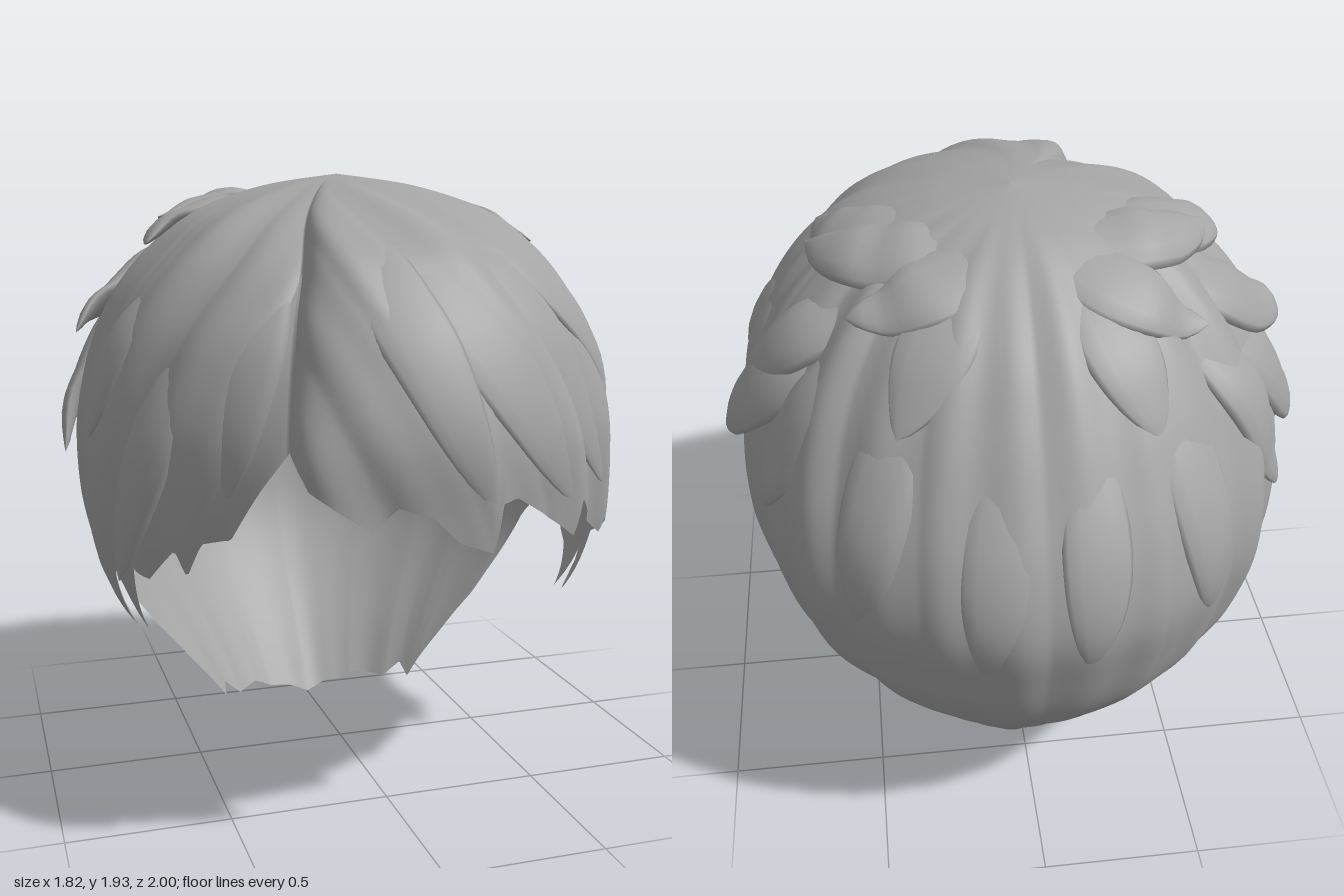
import * as THREE from 'three';

const RAD = Math.PI / 180;
const hair = new THREE.MeshStandardMaterial({ color: 0xa4a4a4, side: THREE.DoubleSide });
hair.name = 'hair grey';

// Head sections from crown to nape: y, half width, front z, back z, centre z
const SECTIONS = [
  [1.935, 0, -0.04, -0.04, -0.04], [1.895, 0.25, 0.21, -0.28, -0.02], [1.81, 0.47, 0.45, -0.44, 0],
  [1.69, 0.61, 0.66, -0.59, 0], [1.55, 0.72, 0.785, -0.71, 0], [1.4, 0.79, 0.875, -0.815, 0],
  [1.2, 0.84, 0.94, -0.93, 0], [1, 0.85, 0.935, -0.98, 0], [0.8, 0.83, 0.91, -0.945, 0],
  [0.6, 0.77, 0.85, -0.88, 0], [0.4, 0.635, 0.7, -0.75, 0], [0.2, 0.49, 0.5, -0.58, 0],
  [0, 0.38, 0.35, -0.43, 0],
];
const LAST = SECTIONS.length - 1;

// Hem heights: [degrees from the front toward +x, y]
const SIDE = [[71, 0.54], [74.5, 0.76], [78, 0.54], [83, 0.67], [90, 0.75], [96, 0.8], [101, 0.77],
  [104, 0.7], [106, 0.6], [109, 0.4], [115, 0.25], [124, 0.08], [130, 0.12], [137, 0.06], [150, 0.07],
  [160, 0.04], [170, 0.03], [180, 0]];
const HEM = [
  ...SIDE.map(([a, y]) => [-a, y]).reverse(),
  [-66, 0.78], [-60, 0.77], [-52, 0.88], [-50, 0.8], [-46, 0.91], [-40, 0.93], [-34, 1.08], [-28.4, 1.2],
  [-27.6, 1.18], [-24, 1.09], [-13.5, 0.99], [-9, 1.05], [-3, 1.02], [2, 0.95], [9, 0.91], [10.5, 1.04],
  [14, 1.05], [20, 1], [31, 0.9], [33, 1], [40, 0.92], [48, 0.85], [50, 0.89], [58, 0.83], [66, 0.78],
  ...SIDE,
];

function section(s) {
  const i = Math.min(Math.floor(s), LAST - 1), t = s - i;
  const row = k => SECTIONS[Math.max(0, Math.min(LAST, k))];
  return SECTIONS[0].map((_, k) => {
    const [a, b, c, d] = [row(i - 1)[k], row(i)[k], row(i + 1)[k], row(i + 2)[k]];
    return b + 0.5 * t * (c - a + t * (2 * a - 5 * b + 4 * c - d + t * (3 * (b - c) + d - a)));
  });
}

// Smooth head surface at angle th (degrees) and section number s
function base(th, s) {
  const [y, w, f, b, c] = section(Math.max(0, Math.min(LAST, s)));
  const cos = Math.cos(th * RAD);
  return new THREE.Vector3(w * Math.sin(th * RAD), y, c + (cos > 0 ? f - c : c - b) * cos);
}

function hemSection(th) {
  let k = 0;
  while (k < HEM.length - 2 && HEM[k + 1][0] < th) k++;
  const [a, ya] = HEM[k], [b, yb] = HEM[k + 1];
  const y = THREE.MathUtils.lerp(ya, yb, (th - a) / (b - a));
  let lo = 0, hi = LAST;
  for (let n = 0; n < 24; n++) {
    const mid = (lo + hi) / 2;
    if (section(mid)[0] > y) lo = mid; else hi = mid;
  }
  return lo;
}

// Combed strand relief; the fringe swells beside the parting and curls in at its edge
function relief(th, s) {
  const fade = THREE.MathUtils.smoothstep(s, 0.5, 3.5);
  const sweep = (th > -28 ? 8 : -5) * Math.exp(-(((th + 20) / 70) ** 2));
  const a = (th - sweep * (s - 6)) * RAD;
  const wave = 0.55 * Math.abs(Math.sin(a * 9 + 0.7 * Math.sin(a * 3)))
    + 0.3 * Math.sin(a * 14 + s * 0.25) + 0.2 * Math.sin(a * 25 + 1);
  const calm = s > 7.5 ? Math.max(0.25, 1 - (s - 7.5) * 0.35) : 1;
  const d = th + 28;
  const fringe = d > 0 ? 0.06 * Math.exp(-((d / 55) ** 2)) - 0.09 * Math.exp(-d / 3.5) : -0.065 * Math.exp(d / 14);
  return fade * (0.025 * wave * calm + fringe);
}

function outer(th, s) {
  const p = base(th, s);
  const out = p.clone().sub(new THREE.Vector3(0, 0.9, 0)).normalize();
  return p.addScaledVector(out, relief(th, s));
}

// Closed loop grid: fn(u, v), u runs round and v runs along
function loopGrid(cols, rows, fn, flip = false) {
  const pos = [], index = [];
  for (let j = 0; j <= rows; j++)
    for (let i = 0; i < cols; i++) pos.push(...fn(i / cols, j / rows).toArray());
  for (let j = 0; j < rows; j++)
    for (let i = 0; i < cols; i++) {
      const n = (i + 1) % cols;
      const a = j * cols + i, b = a + cols, c = j * cols + n, d = c + cols;
      if (flip) index.push(a, c, b, c, d, b);
      else index.push(a, b, c, c, b, d);
    }
  const g = new THREE.BufferGeometry();
  g.setAttribute('position', new THREE.Float32BufferAttribute(pos, 3));
  g.setIndex(index);
  g.computeVertexNormals();
  return g;
}

// Tapered lock whose root sinks into the hair and whose tip lifts away
function lockGeometry([th0, s0, th1, s1, width, height, flick]) {
  const at = t => [th0 + (th1 - th0) * t * (0.6 + 0.4 * t), s0 + (s1 - s0) * t];
  return loopGrid(12, 20, (u, t) => {
    const [th, s] = at(t);
    const p = outer(th, s);
    const tangent = base(...at(t + 0.02)).sub(base(...at(t - 0.02))).normalize();
    const across = base(th + 1, s).sub(base(th - 1, s));
    const down = base(th, s + 0.05).sub(base(th, s - 0.05));
    const normal = down.cross(across).normalize();
    const side = tangent.clone().cross(normal).normalize();
    const swell = Math.pow(Math.max(0, Math.sin(Math.PI * t)), 0.75);
    const sink = height * (0.15 + 1.1 * (1 - THREE.MathUtils.smoothstep(t, 0, 0.75)));
    const a = u * 2 * Math.PI;
    return p.addScaledVector(side, Math.cos(a) * width * swell)
      .addScaledVector(normal, Math.sin(a) * height * swell + flick * t ** 4 - sink);
  });
}

// Locks: start angle, start section, tip angle, tip section, half width, half height, tip lift
const LOCKS = {
  rightCrownLock: [[150, 0.8, 90, 2.7, 0.12, 0.045, 0.05], [115, 0.8, 70, 2.9, 0.1, 0.03, 0.01],
    [165, 1, 128, 3, 0.12, 0.035, 0.02]],
  rightSideLock: [[126, 2, 98, 5, 0.11, 0.04, 0.03], [122, 3, 92, 6.3, 0.12, 0.045, 0.07],
    [82, 3, 69, 6.4, 0.1, 0.03, 0], [132, 3, 113, 6.6, 0.1, 0.035, 0.01],
    [90, 3, 82, 6.4, 0.08, 0.025, 0], [70, 5.5, 80, 8.2, 0.06, 0.02, 0.03]],
  leftCrownLock: [[-150, 0.8, -97, 2.5, 0.12, 0.045, 0.06], [-120, 0.8, -84, 3, 0.12, 0.04, 0.05],
    [-165, 1, -130, 3.4, 0.12, 0.03, 0.02]],
  leftSideLock: [[-122, 2, -91, 4.9, 0.12, 0.04, 0.08], [-120, 3.2, -93, 6.7, 0.13, 0.045, 0.06],
    [-52, 4, -66, 8.2, 0.1, 0.035, 0.06], [-70, 3, -78, 6.3, 0.1, 0.03, 0.02],
    [-134, 3, -114, 6.8, 0.11, 0.035, 0.02]],
  fringeLock: [[-15, 2, 9, 6.9, 0.11, 0.02, 0], [-5, 2, 30, 7, 0.13, 0.02, 0],
    [10, 1.6, 47, 7, 0.13, 0.025, 0], [-34, 3, -42, 6.9, 0.09, 0.02, 0], [25, 1.4, 62, 6, 0.12, 0.02, 0]],
  backLock: [[150, 3.5, 141, 7.4, 0.11, 0.03, 0], [-150, 3.5, -143, 7.6, 0.11, 0.03, 0],
    [172, 4, 168, 7.8, 0.1, 0.025, 0], [-170, 4, -172, 7.6, 0.1, 0.025, 0],
    [158, 1.3, 150, 4.4, 0.12, 0.025, 0.01], [-160, 1.4, -154, 4.6, 0.12, 0.025, 0]],
};

export function createModel() {
  const model = new THREE.Group();
  model.name = 'hair';
  const add = (name, geometry) => {
    const mesh = new THREE.Mesh(geometry, hair);
    mesh.name = name;
    model.add(mesh);
  };

  // Outer hair and the smooth lining, meeting along the hem
  const COLS = 480;
  const hems = Array.from({ length: COLS }, (_, i) => hemSection((i / COLS) * 360 - 180));
  const hemAt = u => hems[Math.round(u * COLS) % COLS];
  add('outerHair', loopGrid(COLS, 60, (u, v) => outer(u * 360 - 180, v * hemAt(u))));
  add('innerLining', loopGrid(COLS, 24, (u, v) => {
    const th = u * 360 - 180, s = v * hemAt(u);
    const centre = new THREE.Vector3(0, 0.9, 0);
    const skin = outer(th, s).lerp(base(th, s), 0.85);
    return skin.lerp(centre, 0.035 * (1 - v ** 8)).lerp(outer(th, s), v ** 8);
  }, true));

  // Layered locks
  for (const [name, list] of Object.entries(LOCKS)) list.forEach(l => add(name, lockGeometry(l)));
  return model;
}
